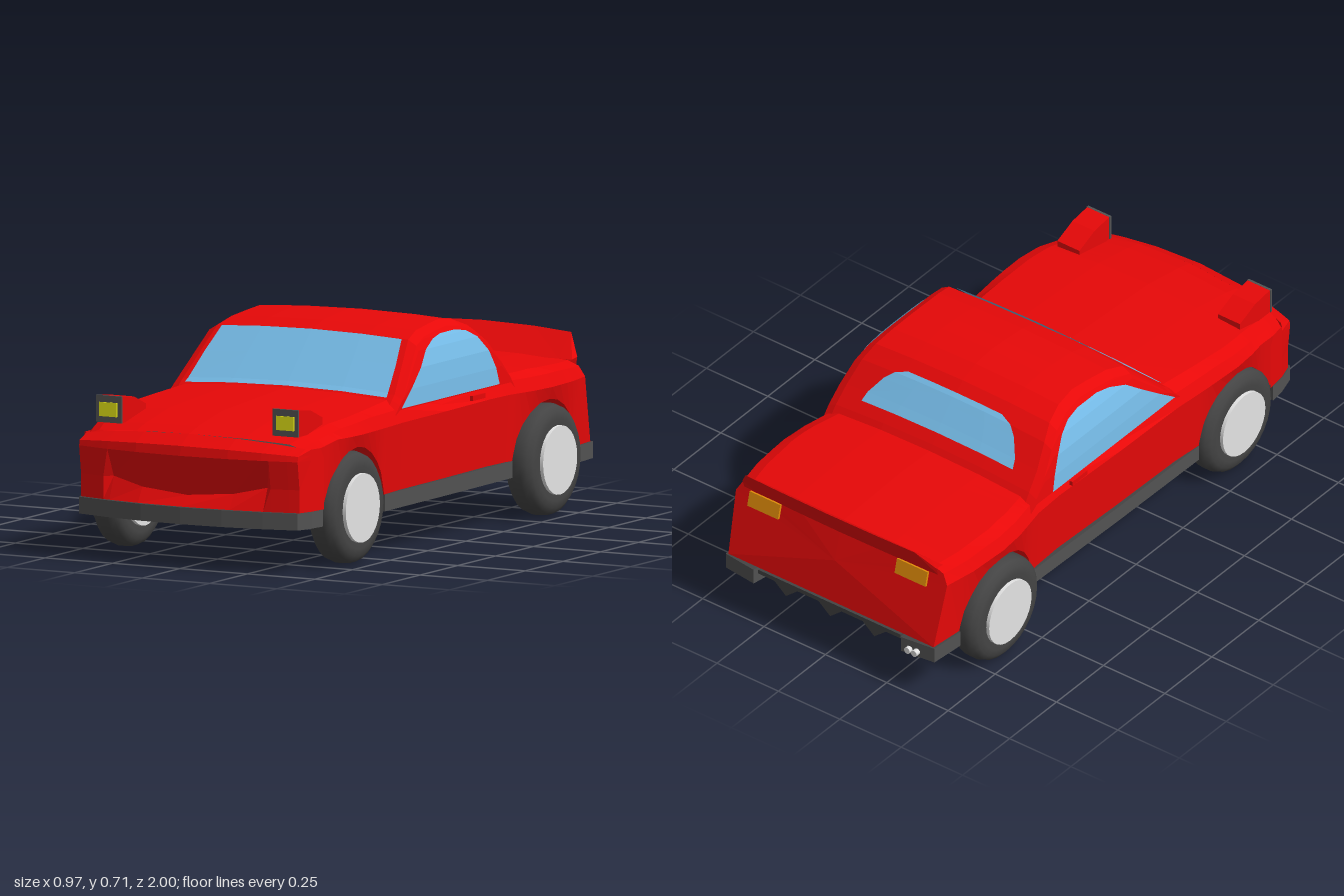
import * as THREE from 'three';

const mat = (name, color, side = THREE.FrontSide) => {
  const m = new THREE.MeshStandardMaterial({ color, side });
  m.name = name;
  return m;
};

// piecewise linear lookup in [[key, value], ...] with keys in descending order
const lookup = (table, k) => {
  if (k >= table[0][0]) return table[0][1];
  for (let i = 1; i < table.length; i++) {
    const [k0, v0] = table[i - 1], [k1, v1] = table[i];
    if (k >= k1) return v1 + (v0 - v1) * (k - k1) / (k0 - k1);
  }
  return table[table.length - 1][1];
};

// faceted surface through rows of points; front side = row direction x column direction
function grid(rows) {
  const p = [];
  for (let i = 0; i + 1 < rows.length; i++) {
    for (let j = 0; j + 1 < rows[i].length; j++) {
      const a = rows[i][j], b = rows[i][j + 1], c = rows[i + 1][j + 1], d = rows[i + 1][j];
      p.push(...a, ...d, ...b, ...b, ...d, ...c);
    }
  }
  const g = new THREE.BufferGeometry();
  g.setAttribute('position', new THREE.Float32BufferAttribute(p, 3));
  g.computeVertexNormals();
  return g;
}

const polygon = pts => new THREE.Shape(pts.map(p => new THREE.Vector2(...p)));
const extrude = (pts, depth) => new THREE.ExtrudeGeometry(polygon(pts), { depth, bevelEnabled: false });

// half section (+x, bottom to centre) -> full ring, closed if asked
const ring = (half, closed) => {
  const r = [...half, ...half.slice(0, -1).reverse().map(([x, y, z]) => [-x, y, z])];
  return closed ? [...r, half[0]] : r;
};

// rounded nose and tail in plan, raked tail
const bend = ([x, y, z]) => {
  const q = (x / 0.42) ** 2;
  if (z > 0.6) return [x, y, z - 0.06 * q * (z - 0.6) / 0.4];
  if (z < -0.86) return [x, y, z - (0.48 - y) * 0.25 * (-0.86 - z) / 0.055 + 0.015 * q * (-0.86 - z) / 0.055];
  return [x, y, z];
};

const AXLES = [0.62, -0.65], ARCH = 0.197, HUB = 0.183;
const WIDTH = [[0.95, 0.41], [0.85, 0.43], [0.7, 0.45], [0.6, 0.455], [0.45, 0.447], [0.3, 0.435], [0, 0.43],
  [-0.3, 0.42], [-0.42, 0.425], [-0.55, 0.45], [-0.65, 0.458], [-0.8, 0.45], [-0.915, 0.43]];
const DECK = [[0.95, 0.43], [0.88, 0.45], [0.72, 0.48], [0.3, 0.505], [0, 0.47], [-0.4, 0.49], [-0.6, 0.497], [-0.9, 0.485]];
const ROOF = [[0.34, 0.47], [0.3, 0.505], [0.28, 0.52], [0.12, 0.675], [0.05, 0.695], [-0.05, 0.705], [-0.12, 0.71],
  [-0.2, 0.7], [-0.27, 0.675], [-0.32, 0.635], [-0.38, 0.565], [-0.43, 0.51], [-0.46, 0.47]];
const SIDE = [[0.7, 0.345], [0.66, 0.375], [0.63, 0.392], [0.58, 0.41], [0.52, 0.42], [0.46, 0.425]];
const roofY = (x, z) => lookup(ROOF, z) - 0.012 * (x / 0.35) ** 2;

// lower body with wheel arches
function bodyGeometry() {
  const zs = [...WIDTH.map(w => w[0]), ...DECK.map(d => d[0])].filter(z => z < 0.94);
  zs.push(0.94);
  for (const a of AXLES) for (const f of [0, 0.3, 0.55, 0.75, 0.9, 0.98, 1.01]) zs.push(a + f * ARCH, a - f * ARCH);
  const rows = [...new Set(zs)].sort((a, b) => b - a).map(z => {
    let yb = 0.2;
    for (const a of AXLES) if (Math.abs(z - a) < ARCH) yb = Math.max(yb, HUB + Math.sqrt(ARCH ** 2 - (z - a) ** 2));
    const w = lookup(WIDTH, z), d = lookup(DECK, z), s = Math.min(0.462, d - 0.03);
    const half = [[w - 0.012, yb], [w, Math.min(0.42, s - 0.02)], [w - 0.02, s], [w - 0.06, d - 0.015], [0.2, d - 0.004], [0, d]];
    return ring(half.map(([x, y]) => bend([x, y, z])), true);
  });
  rows.push(rows[0].map(() => [0, 0.35, -0.95]));
  return grid(rows);
}

// cabin shell
function cabinGeometry() {
  return grid(ROOF.map(([z, t]) => {
    const e = t - 0.03, xe = lookup(SIDE, e);
    const half = [0.46, 0.52, 0.58, 0.63, 0.66].map(l => [lookup(SIDE, Math.min(l, e)), Math.min(l, e), z]);
    half.push([xe, e, z], [xe - 0.03, roofY(xe - 0.03, z), z], [0.2, roofY(0.2, z), z], [0, t, z]);
    return ring(half, false);
  }));
}

// nose with a shallow recessed grille and rounded corners
function fasciaGeometry() {
  const half = [0, 0.17, 0.285, 0.31, 0.37, 0.405, 0.42, 0.428];
  const xs = [...half.slice(1).reverse().map(x => -x), ...half];
  const corner = { 0.42: 0.88, 0.428: 0.81 };
  const profile = [[0.433, 0.94, 0], [0.4, 0.995, 0], [0.368, 1, 0], [0.235, 0.985, 0.032], [0.2, 0.985, 0]];
  return grid(profile.map(([y, z, recess], i) => xs.map(x => {
    const ax = Math.abs(x), q = (x / 0.42) ** 2;
    const yy = i < 2 ? y - [0.03, 0.016][i] * q : recess ? y + 0.04 * Math.min(1, (x / 0.285) ** 2) : y;
    return ax in corner ? [x, yy, corner[ax]] : bend([x, yy, z - (ax < 0.3 ? recess : 0)]);
  })));
}

// floor pan outline with wheel notches and a gap for the diffuser
function floorGeometry() {
  const nose = [0.15, 0.29, 0.405].map(x => bend([x, 0.48, 1])).map(p => [p[0], p[2]]);
  const half = [...nose, [0.423, 0.88], [0.43, 0.82], [0.33, 0.82], [0.33, 0.42], [0.435, 0.42], [0.43, 0], [0.42, -0.45],
    [0.33, -0.45], [0.33, -0.85], [0.436, -0.85], [0.425, -0.975], [0.3, -0.99], [0.28, -0.87]];
  const all = [[0, 1], ...half, ...half.slice().reverse().map(([x, z]) => [-x, z])];
  return extrude(all.map(([x, z]) => [x, -z]), 0.055).rotateX(-Math.PI / 2).translate(0, 0.145, 0);
}

export function createModel() {
  const car = new THREE.Group();
  car.name = 'sportsCar';
  const red = mat('red paint', 0xe80808, THREE.DoubleSide), glass = mat('window glass', 0x76bce8, THREE.DoubleSide);
  const trim = mat('grey trim', 0x525252), dark = mat('dark underside', 0x444444), rubber = mat('tyre rubber', 0x444444);
  const silver = mat('silver', 0xe4e4e4), yellow = mat('headlamp yellow', 0xf0f018), amber = mat('tail lamp amber', 0xe08c08);
  const add = (name, geo, m, x = 0, y = 0, z = 0, parent = car) => {
    const mesh = new THREE.Mesh(geo, m);
    mesh.name = name;
    mesh.position.set(x, y, z);
    parent.add(mesh);
    return mesh;
  };
  const box = (w, h, d) => new THREE.BoxGeometry(w, h, d);

  add('body', bodyGeometry(), red);
  add('cabin', cabinGeometry(), red);
  add('noseFascia', fasciaGeometry(), red);
  add('floorPan', floorGeometry(), [dark, trim]);
  add('wheelWellCore', box(0.66, 0.2, 1.74), dark, 0, 0.28, -0.015);

  // windscreen and rear window follow the roof curve
  const cols = [-1, -0.55, 0, 0.55, 1];
  const pane = (rows, lift) => grid(rows.map(([z, w]) => cols.map(c => [c * w, roofY(c * w, z) + 0.004, z + lift])));
  add('windscreen', pane([[0.124, 0.333], [0.2, 0.354], [0.28, 0.37], [0.297, 0.374]], 0.003), glass);
  add('rearWindow', pane([[-0.403, 0.308], [-0.38, 0.3], [-0.34, 0.265], [-0.32, 0.235], [-0.306, 0.19]], -0.003), glass);

  // spoiler lip
  add('spoiler', grid([-0.395, -0.345, -0.2, 0, 0.2, 0.345, 0.395].map(x => {
    const q = (x / 0.42) ** 2, tip = Math.abs(x) > 0.35;
    return [[x, 0.475, -0.89], tip ? [x, 0.48, -0.925] : [x, 0.565 - 0.02 * q, -0.995 + 0.03 * q], [x, 0.45, -0.925 + 0.01 * q]];
  })), red);

  // wheels
  const tyre = new THREE.LatheGeometry([[0.108, -0.05], [0.135, -0.053], [0.158, -0.05], [0.176, -0.036], [0.183, -0.015],
    [0.183, 0.015], [0.176, 0.036], [0.158, 0.05], [0.135, 0.053], [0.108, 0.05]].map(p => new THREE.Vector2(...p)), 28).rotateZ(Math.PI / 2);
  const rim = new THREE.CylinderGeometry(0.113, 0.113, 0.125, 28).rotateZ(Math.PI / 2);

  for (const s of [1, -1]) {
    const side = s > 0 ? 'left' : 'right';
    AXLES.forEach((z, i) => {
      const wheel = new THREE.Group();
      wheel.name = side + (i ? 'RearWheel' : 'FrontWheel');
      wheel.position.set(s * (i ? 0.423 : 0.403), HUB, z);
      add('tyre', tyre, rubber, 0, 0, 0, wheel);
      add('rim', rim, silver, 0, 0, 0, wheel);
      car.add(wheel);
    });

    // side window
    const sill = [[0.465, 0.3, -0.35], [0.52, 0.225, -0.335], [0.58, 0.145, -0.305], [0.63, 0.08, -0.26], [0.655, 0.01, -0.21], [0.665, -0.05, -0.15]];
    add(side + 'Window', grid(sill.map(([y, f, r]) => {
      const x = s * (lookup(SIDE, y) + 0.005);
      return s > 0 ? [[x, y, r], [x, y, f]] : [[x, y, f], [x, y, r]];
    })), glass);
    add(side + 'DoorHandle', box(0.012, 0.016, 0.08), red, s * 0.426, 0.44, -0.21);

    // raised headlamp
    const lid = [[-0.88, 0.44], [-0.88, 0.528], [-0.8, 0.518], [-0.72, 0.485], [-0.72, 0.44]];
    add(side + 'HeadlampPod', extrude(lid, 0.09).rotateY(Math.PI / 2), red, s * 0.327 - 0.045, 0, 0);
    add(side + 'HeadlampFrame', box(0.094, 0.088, 0.009), trim, s * 0.327, 0.484, 0.883);
    add(side + 'Headlamp', box(0.066, 0.046, 0.006), yellow, s * 0.328, 0.483, 0.889);

    add(side + 'TailLamp', box(0.125, 0.052, 0.009), amber, s * 0.3, 0.427, -0.932).rotation.x = 0.25;
  }

  // diffuser and exhaust
  add('diffuserPlate', box(0.58, 0.015, 0.12), dark, 0, 0.192, -0.92);
  const fin = extrude([[-0.065, 0], [0, -0.055], [0.065, 0]], 0.1);
  for (const x of [-0.18, 0, 0.18]) add('diffuserFin', fin, dark, x, 0.195, -0.975);
  const pipe = new THREE.CylinderGeometry(0.012, 0.012, 0.06, 10).rotateX(Math.PI / 2);
  for (const x of [-0.36, -0.332]) add('exhaustPipe', pipe, silver, x, 0.165, -0.97);
  return car;
}
